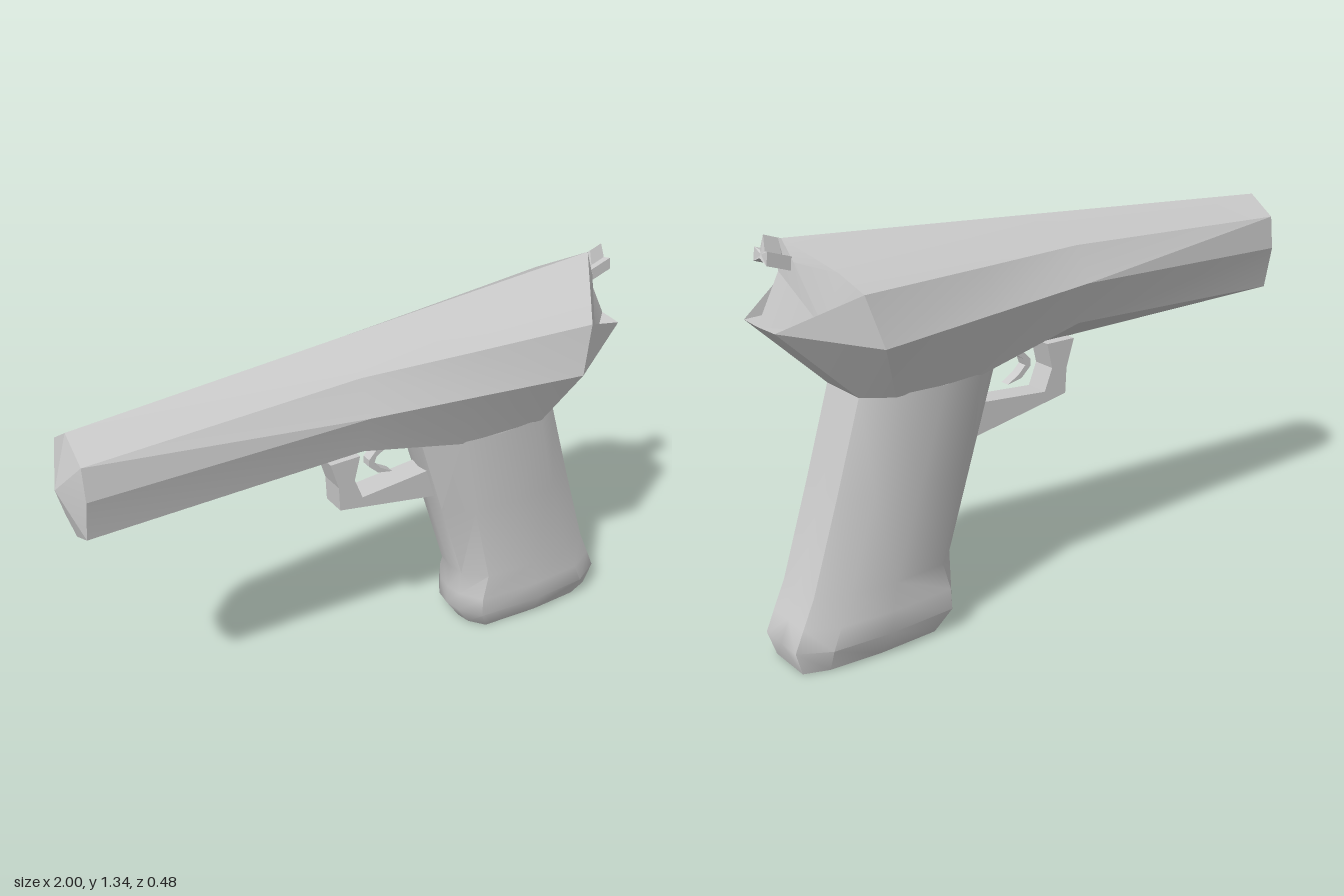
import * as THREE from 'three';
import { toCreasedNormals } from 'three/addons/utils/BufferGeometryUtils.js';

const material = new THREE.MeshStandardMaterial({ color: 0xcccccc, side: THREE.DoubleSide });

// Skins a row of half cross-sections (z >= 0) and mirrors the skin across z = 0.
function mirroredLoft(name, rings, crease) {
  const pos = [];
  const tri = (a, b, c) => {
    const [A, B, C] = [a, b, c].map((p) => new THREE.Vector3(...p));
    if (B.clone().sub(A).cross(C.clone().sub(A)).length() < 1e-7) return;
    pos.push(...a, ...b, ...c);
    for (const p of [a, c, b]) pos.push(p[0], p[1], -p[2]);
  };
  for (let i = 0; i < rings.length - 1; i++) {
    for (let j = 0; j < rings[i].length - 1; j++) {
      const a = rings[i][j], b = rings[i][j + 1];
      const c = rings[i + 1][j + 1], d = rings[i + 1][j];
      tri(a, b, c);
      tri(a, c, d);
    }
  }
  const geo = new THREE.BufferGeometry();
  geo.setAttribute('position', new THREE.Float32BufferAttribute(pos, 3));
  const mesh = new THREE.Mesh(toCreasedNormals(geo, crease), material);
  mesh.name = name;
  return mesh;
}

// Extrudes a side outline symmetrically about z = 0.
function plate(name, points, depth) {
  const shape = new THREE.Shape(points.map(([x, y]) => new THREE.Vector2(x, y)));
  const geo = new THREE.ExtrudeGeometry(shape, { depth, bevelEnabled: false });
  geo.translate(0, 0, -depth / 2);
  const mesh = new THREE.Mesh(geo, material);
  mesh.name = name;
  return mesh;
}

// Grip cross-section at height y, from the front centre round to the back centre.
const gripRing = (y, x0, x1, w, front, back, frontZ = 0.06, backZ = 0.09) => [
  [x0, y, 0],
  [x0 + 0.01, y, frontZ],
  [x0 + front, y, w * 0.88],
  [(x0 + x1) / 2, y, w],
  [x1 - back, y, w * 0.94],
  [x1, y, backZ],
  [x1, y, 0],
];

export function createModel() {
  const group = new THREE.Group();

  // Body: each section runs top ridge, shoulder, side, widest, lower edge, underside
  group.add(mirroredLoft('body', [
    Array(6).fill([-1, 1.03, 0]),
    [[-0.95, 1.205, 0], [-0.95, 1.14, 0.098], [-0.95, 1.14, 0.098],
      [-0.95, 1.03, 0.11], [-0.95, 0.885, 0.08], [-0.95, 0.852, 0]],
    [[-0.05, 1.262, 0], [-0.05, 1.18, 0.125], [-0.05, 1.18, 0.125],
      [-0.05, 1.07, 0.187], [-0.05, 0.93, 0.14], [-0.05, 0.84, 0]],
    [[0.33, 1.286, 0], [0.33, 1.204, 0.134], [0.33, 1.18, 0.166],
      [0.33, 1.046, 0.213], [0.33, 0.835, 0.138], [0.21, 0.835, 0]],
    [[0.91, 1.322, 0], [0.815, 1.235, 0.145], [0.775, 1.18, 0.21],
      [0.73, 1.02, 0.24], [0.645, 0.835, 0.15], [0.645, 0.835, 0]],
    [[0.92, 1.324, 0], [0.9, 1.26, 0.045], [0.86, 1.07, 0.135],
      [0.995, 1.08, 0.09], [0.735, 0.835, 0.09], [0.735, 0.835, 0]],
    [[0.92, 1.324, 0], [0.925, 1.23, 0], [0.925, 1.23, 0],
      [1, 1.08, 0], [0.735, 0.835, 0], [0.735, 0.835, 0]],
  ], 0.3));

  // Grip with a flared foot, from the flat base upward
  group.add(mirroredLoft('grip', [
    Array(7).fill([0.7, 0, 0]),
    gripRing(0, 0.45, 0.965, 0.115, 0.05, 0.08, 0.05, 0.08),
    gripRing(0.08, 0.395, 0.99, 0.155, 0.06, 0.1),
    gripRing(0.15, 0.397, 0.96, 0.152, 0.06, 0.1),
    gripRing(0.24, 0.4, 0.92, 0.145, 0.08, 0.1),
    gripRing(0.54, 0.305, 0.825, 0.15, 0.1, 0.1),
    gripRing(0.84, 0.21, 0.735, 0.157, 0.12, 0.09),
  ], 0.75));

  // Hammer: pointed ridge flaring to a flat lower block
  const hammerRing = (xTop, top, xLow, low) => [
    [xTop, top, 0],
    [xTop + 0.005, top - 0.045, 0.014],
    [xLow, low + 0.04, 0.038],
    [xLow + 0.005, low, 0.038],
    [xLow + 0.005, low + 0.015, 0],
  ];
  group.add(mirroredLoft('hammer', [
    Array(5).fill([0.89, 1.28, 0]),
    hammerRing(0.915, 1.323, 0.9, 1.235),
    hammerRing(0.965, 1.34, 0.975, 1.26),
    Array(5).fill([0.975, 1.285, 0]),
  ], 0.3));

  // Trigger guard
  group.add(plate('triggerGuard', [
    [-0.11, 0.845], [-0.08, 0.75], [-0.075, 0.663], [0.33, 0.587], [0.33, 0.709],
    [0.01, 0.685], [-0.02, 0.76], [0, 0.845],
  ], 0.085));

  // Trigger
  group.add(plate('trigger', [
    [0.22, 0.845], [0.08, 0.832], [0.05, 0.8], [0.05, 0.775], [0.085, 0.742],
    [0.14, 0.73], [0.095, 0.757], [0.07, 0.782], [0.078, 0.805], [0.11, 0.825], [0.22, 0.83],
  ], 0.035));

  return group;
}
